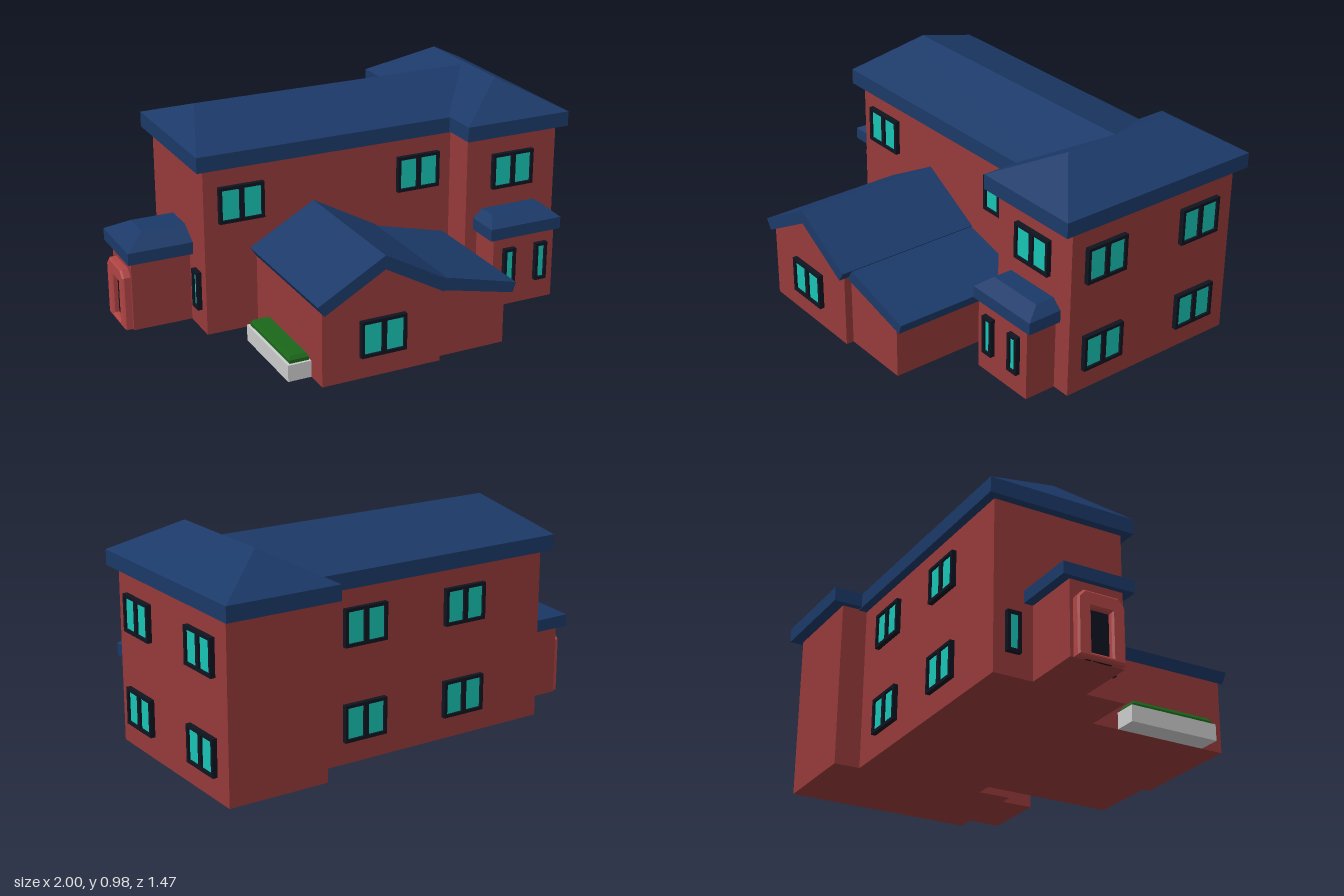
import * as THREE from 'three';
import { ConvexGeometry } from 'three/addons/geometries/ConvexGeometry.js';

const mat = (color) => new THREE.MeshStandardMaterial({ color, flatShading: true });
const BRICK = mat(0x963a3a), TRIM = mat(0xb04444), ROOF = mat(0x1b3968), FRAME = mat(0x0f1420);
const GLASS = mat(0x18c4b4), LEAF = mat(0x1a661a), GREY = mat(0xcccccc);

export function createModel() {
  const house = new THREE.Group();
  house.name = 'house';

  const add = (name, geometry, material, parent = house) => {
    const mesh = new THREE.Mesh(geometry, material);
    mesh.name = name;
    parent.add(mesh);
    return mesh;
  };

  // Box given by its limits on each axis
  const block = (name, material, [x0, x1], [y0, y1], [z0, z1]) => {
    const g = new THREE.BoxGeometry(x1 - x0, y1 - y0, z1 - z0);
    g.translate((x0 + x1) / 2, (y0 + y1) / 2, (z0 + z1) / 2);
    return add(name, g, material);
  };

  // Rectangular rings [y, x0, x1, z0, z1] joined to a convex solid
  const hull = (name, material, rings) => {
    const seen = new Map();
    for (const [y, x0, x1, z0, z1] of rings)
      for (const x of [x0, x1])
        for (const z of [z0, z1]) seen.set(`${x},${y},${z}`, new THREE.Vector3(x, y, z));
    return add(name, new ConvexGeometry([...seen.values()]), material);
  };

  // Front-facing outline pulled from z0 to z1
  const outline = (points) => new THREE.Shape(points.map(([x, y]) => new THREE.Vector2(x, y)));
  const prism = (name, material, points, z0, z1) => {
    const g = new THREE.ExtrudeGeometry(outline(points), { depth: z1 - z0, bevelEnabled: false });
    g.translate(0, 0, z0);
    return add(name, g, material);
  };

  // Window: frame with recessed panes, set on a wall facing the given angle
  const rect = (x0, x1, y0, y1) => [[x0, y0], [x1, y0], [x1, y1], [x0, y1]];
  const windowAt = (x, y, z, turn = 0, w = 0.21, h = 0.165, panes = 2) => {
    const group = new THREE.Group();
    group.name = 'window';
    const b = 0.014, mullion = 0.022;
    const pw = (w - 2 * b - mullion * (panes - 1)) / panes;
    const shape = outline(rect(-w / 2, w / 2, -h / 2, h / 2));
    for (let i = 0; i < panes; i++) {
      const px = -w / 2 + b + i * (pw + mullion);
      shape.holes.push(outline(rect(px, px + pw, -h / 2 + b, h / 2 - b)));
      const pane = add('pane', new THREE.BoxGeometry(pw, h - 2 * b, 0.01), GLASS, group);
      pane.position.set(px + pw / 2, 0, 0.007);
    }
    add('windowFrame', new THREE.ExtrudeGeometry(shape, { depth: 0.022, bevelEnabled: false }), FRAME, group);
    group.position.set(x, y, z);
    group.rotation.y = turn;
    house.add(group);
  };

  // Main block and cross wing
  block('mainWalls', BRICK, [-0.69, 0.6], [0, 0.79], [-0.56, 0.05]);
  hull('mainRoof', ROOF, [
    [0.77, -0.73, 0.74, -0.6, 0.09],
    [0.84, -0.73, 0.74, -0.6, 0.09],
    [0.97, -0.61, 0.74, -0.23, -0.23],
  ]);
  block('wingWalls', BRICK, [0.51, 0.97], [0, 0.79], [-0.68, 0.205]);
  hull('wingRoof', ROOF, [
    [0.775, 0.48, 1, -0.735, 0.26],
    [0.843, 0.48, 1, -0.735, 0.26],
    [0.98, 0.74, 0.74, -0.52, 0.04],
  ]);

  // Front gable with chevron roof
  prism('gableWalls', BRICK,
    [[-0.45, 0], [0.1, 0], [0.1, 0.335], [-0.175, 0.488], [-0.45, 0.335]], 0, 0.71);
  prism('gableRoof', ROOF,
    [[-0.48, 0.375], [-0.45, 0.33], [-0.175, 0.484], [0.1, 0.33], [0.13, 0.375], [-0.175, 0.545]], 0.03, 0.735);

  // Lean-to beside the gable
  prism('leanToWalls', BRICK, [[0.09, 0], [0.43, 0], [0.43, 0.248], [0.09, 0.325]], 0, 0.675);
  prism('leanToRoof', ROOF, [[0.1, 0.317], [0.465, 0.233], [0.48, 0.278], [0.115, 0.372]], 0.03, 0.688);

  // Bay on the wing front
  block('bayWalls', BRICK, [0.57, 0.885], [0, 0.34], [0.15, 0.355]);
  hull('bayRoof', ROOF, [
    [0.33, 0.55, 0.912, 0.15, 0.367],
    [0.385, 0.55, 0.912, 0.15, 0.367],
    [0.425, 0.595, 0.867, 0.15, 0.295],
  ]);

  // Side porch with door
  block('porchWalls', BRICK, [-0.963, -0.65], [0, 0.34], [-0.38, -0.135]);
  hull('porchRoof', ROOF, [
    [0.33, -0.988, -0.65, -0.422, -0.093],
    [0.385, -0.988, -0.65, -0.422, -0.093],
    [0.44, -0.89, -0.65, -0.33, -0.185],
  ]);
  const entrance = new THREE.Group();
  entrance.name = 'entrance';
  const surround = outline([[-0.1, 0.008], [0.1, 0.008], [0.1, 0.245], [0.075, 0.272], [-0.075, 0.272], [-0.1, 0.245]]);
  surround.holes.push(outline(rect(-0.055, 0.055, 0.014, 0.22)));
  add('doorSurround', new THREE.ExtrudeGeometry(surround,
    { depth: 0.029, bevelThickness: 0.008, bevelSize: 0.008, bevelSegments: 1 }), TRIM, entrance);
  add('door', new THREE.BoxGeometry(0.12, 0.225, 0.01), FRAME, entrance).position.set(0, 0.1125, 0.005);
  entrance.position.set(-0.963, 0, -0.257);
  entrance.rotation.y = -Math.PI / 2;
  house.add(entrance);

  // Windows on every side
  const LOW = 0.183, HIGH = 0.597;
  for (const x of [-0.52, 0.34]) windowAt(x, HIGH, 0.05);
  windowAt(0.74, HIGH, 0.205);
  windowAt(-0.175, LOW, 0.71);
  for (const x of [0.647, 0.812]) windowAt(x, 0.19, 0.355, 0, 0.06, 0.18, 1);
  for (const y of [LOW, HIGH]) {
    for (const z of [0.03, -0.487]) windowAt(0.97, y, z, Math.PI / 2);
    for (const x of [0.25, -0.265]) windowAt(x, y, -0.56, Math.PI);
  }
  for (const z of [-0.475, -0.035]) windowAt(-0.69, 0.188, z, -Math.PI / 2, 0.065, 0.178, 1);

  // Planter with clipped hedge
  block('planter', GREY, [-0.555, -0.45], [0, 0.075], [0.175, 0.605]);
  hull('hedge', LEAF, [
    [0.07, -0.543, -0.455, 0.187, 0.593],
    [0.09, -0.543, -0.455, 0.187, 0.593],
    [0.105, -0.533, -0.462, 0.2, 0.58],
  ]);

  return house;
}
